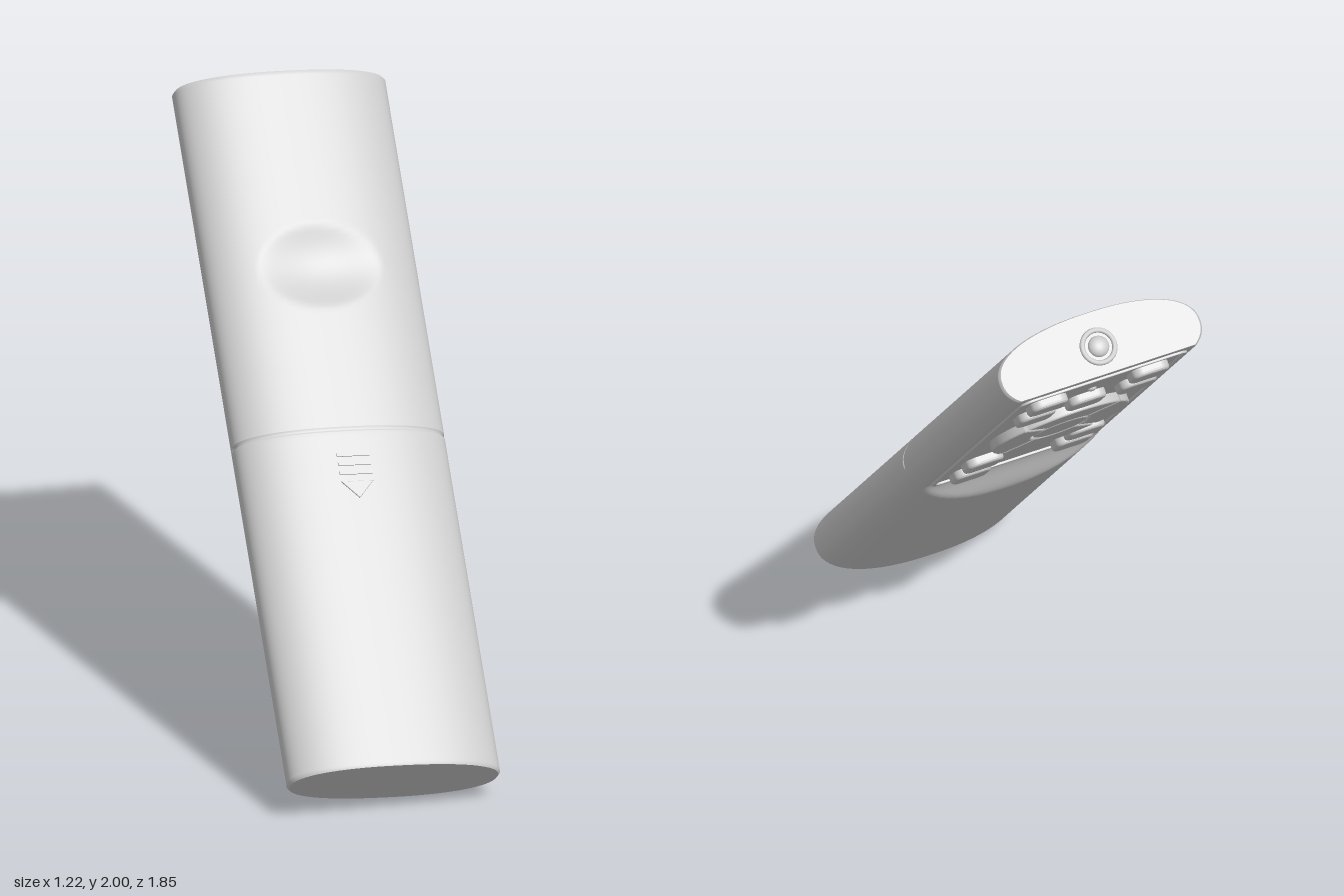
import * as THREE from 'three';

const HALF_LEN = 1.23, HALF_W = 0.36, HALF_T = 0.138, FLAT = 0.075, POWER = 2.3;
const SEAM = -0.04;
const material = new THREE.MeshStandardMaterial({ color: 0xcccccc, side: THREE.DoubleSide });

function part(name, geometry, x = 0, y = 0, z = 0) {
  const mesh = new THREE.Mesh(geometry, material);
  mesh.name = name;
  mesh.position.set(x, y, z);
  return mesh;
}

// One point of the handset skin: x across, y along, z towards the smooth cover
function skinPoint(l, t) {
  const c = Math.cos(t), s = Math.sin(t), e = 2 / POWER;
  let x = HALF_W * Math.sign(c) * Math.abs(c) ** e;
  let z = HALF_T * Math.sign(s) * Math.abs(s) ** e;
  // keypad flat, with a scooped ramp at its lower end
  const flat = THREE.MathUtils.lerp(HALF_T + 0.002, FLAT, THREE.MathUtils.smoothstep(l, -0.23, -0.04));
  z = Math.max(z, -flat);
  // finger dimple in the cover
  if (z > 0) {
    const r = Math.hypot(x / 0.21, (l - 0.54) / 0.15);
    if (r < 1) z -= 0.035 * (1 - r * r) ** 1.3;
  }
  // battery cover seam and softened ends
  let k = 1;
  if (z > 0) k -= 0.025 * Math.max(0, 1 - Math.abs(l - SEAM) / 0.008);
  k -= 0.02 * Math.max(0, 1 - (HALF_LEN - Math.abs(l)) / 0.008);
  return [x * k, l, z * k];
}

function bodyGeometry() {
  const stations = [-HALF_LEN, -HALF_LEN + 0.008, HALF_LEN - 0.008, HALF_LEN, SEAM - 0.008, SEAM, SEAM + 0.008];
  for (let i = 1; i < 160; i++) stations.push(-HALF_LEN + (i / 160) * 2 * HALF_LEN);
  stations.sort((a, b) => a - b);
  const seg = 144, pos = [], index = [];
  const ring = (l) => {
    for (let j = 0; j < seg; j++) pos.push(...skinPoint(l, (j / seg) * Math.PI * 2));
  };
  stations.forEach(ring);
  for (let i = 0; i < stations.length - 1; i++) {
    for (let j = 0; j < seg; j++) {
      const k = (j + 1) % seg, a = i * seg, b = a + seg;
      index.push(a + j, b + j, a + k, b + j, b + k, a + k);
    }
  }
  // flat ends
  for (const side of [-1, 1]) {
    const start = pos.length / 3, centre = start + seg;
    ring(side * HALF_LEN);
    pos.push(0, side * HALF_LEN, 0);
    for (let j = 0; j < seg; j++) {
      const a = start + j, b = start + ((j + 1) % seg);
      index.push(centre, side > 0 ? b : a, side > 0 ? a : b);
    }
  }
  const g = new THREE.BufferGeometry();
  g.setAttribute('position', new THREE.Float32BufferAttribute(pos, 3));
  g.setIndex(index);
  g.computeVertexNormals();
  return g;
}

function roundedRect(w, h, r, Type = THREE.Shape) {
  const s = new Type(), x = w / 2, y = h / 2;
  s.absarc(x - r, y - r, r, 0, Math.PI / 2);
  s.absarc(r - x, y - r, r, Math.PI / 2, Math.PI);
  s.absarc(r - x, r - y, r, Math.PI, Math.PI * 1.5);
  s.absarc(x - r, r - y, r, Math.PI * 1.5, Math.PI * 2);
  s.closePath();
  return s;
}

// Extrusion with a rounded top edge that stays inside the outline
function pad(shape, height, bevel) {
  return new THREE.ExtrudeGeometry(shape, {
    depth: height - bevel, bevelThickness: bevel, bevelSize: bevel,
    bevelOffset: -bevel, bevelSegments: 3, curveSegments: 16,
  });
}

function createKeypad() {
  const keypad = new THREE.Group();
  keypad.name = 'keypad';
  keypad.rotation.y = Math.PI;
  keypad.position.z = -FLAT;

  // thin raised frame around the keys
  const frame = roundedRect(0.6, 1.25, 0.04);
  frame.holes.push(roundedRect(0.57, 1.22, 0.03, THREE.Path));
  keypad.add(part('keypadFrame', pad(frame, 0.008, 0.003), 0, 0.57, 0));

  // rounded square keys
  const key = pad(roundedRect(0.13, 0.12, 0.035), 0.03, 0.012);
  const spots = [[0, 0.9]];
  for (const y of [1.065, 0.9, 0.21, 0.047]) spots.push([-0.182, y], [0.182, y]);
  for (const [x, y] of spots) keypad.add(part('key', key, x, y, 0));

  // direction ring in four segments with a centre key
  const gap = 0.012, inner = 0.105, outer = 0.238;
  for (let i = 0; i < 4; i++) {
    const a = Math.PI / 4 + (i * Math.PI) / 2, b = a + Math.PI / 2;
    const s = new THREE.Shape();
    s.absarc(0, 0, outer, a + gap / 2 / outer, b - gap / 2 / outer, false);
    s.absarc(0, 0, inner, b - gap / 2 / inner, a + gap / 2 / inner, true);
    s.closePath();
    keypad.add(part('directionSegment', pad(s, 0.032, 0.007), 0, 0.555, 0));
  }
  const disc = new THREE.Shape();
  disc.absarc(0, 0, 0.097, 0, Math.PI * 2);
  keypad.add(part('centreKey', pad(disc, 0.032, 0.01), 0, 0.555, 0));

  // indicator light
  const lamp = part('indicatorLight', new THREE.SphereGeometry(0.016, 16, 10), 0, 1.01, 0);
  lamp.scale.z = 0.6;
  keypad.add(lamp);
  return keypad;
}

function createCoverMark() {
  const mark = new THREE.Group();
  mark.name = 'coverSlideMark';
  mark.position.set(0, -0.13, HALF_T - 0.003);
  for (let i = 0; i < 3; i++) {
    mark.add(part('gripRib', new THREE.BoxGeometry(0.11, 0.014, 0.014), 0, -i * 0.032, 0));
  }
  const tri = new THREE.Shape();
  tri.moveTo(-0.055, -0.095);
  tri.lineTo(0, -0.155);
  tri.lineTo(0.055, -0.095);
  tri.closePath();
  mark.add(part('slideArrow', pad(tri, 0.007, 0.003)));
  return mark;
}

function createEmitter() {
  const emitter = new THREE.Group();
  emitter.name = 'signalEmitter';
  emitter.position.set(0, HALF_LEN, 0.02);
  const rim = part('emitterRim', new THREE.TorusGeometry(0.055, 0.009, 10, 32));
  rim.rotation.x = Math.PI / 2;
  const lens = part('emitterLens', new THREE.SphereGeometry(0.036, 20, 14));
  lens.scale.y = 0.6;
  emitter.add(rim, lens);
  return emitter;
}

export function createModel() {
  const model = new THREE.Group();
  model.name = 'remoteControl';

  // handset leaning back and to one side
  const along = new THREE.Vector3(0.215, 0.736, -0.642).normalize();
  const across = new THREE.Vector3(0.965, -0.059, 0.256);
  const out = new THREE.Vector3().crossVectors(across, along).normalize();
  across.crossVectors(along, out);
  const handset = new THREE.Group();
  handset.name = 'handset';
  handset.quaternion.setFromRotationMatrix(new THREE.Matrix4().makeBasis(across, along, out));
  handset.position.y = 1;
  handset.add(part('body', bodyGeometry()), createKeypad(), createCoverMark(), createEmitter());
  model.add(handset);
  return model;
}
